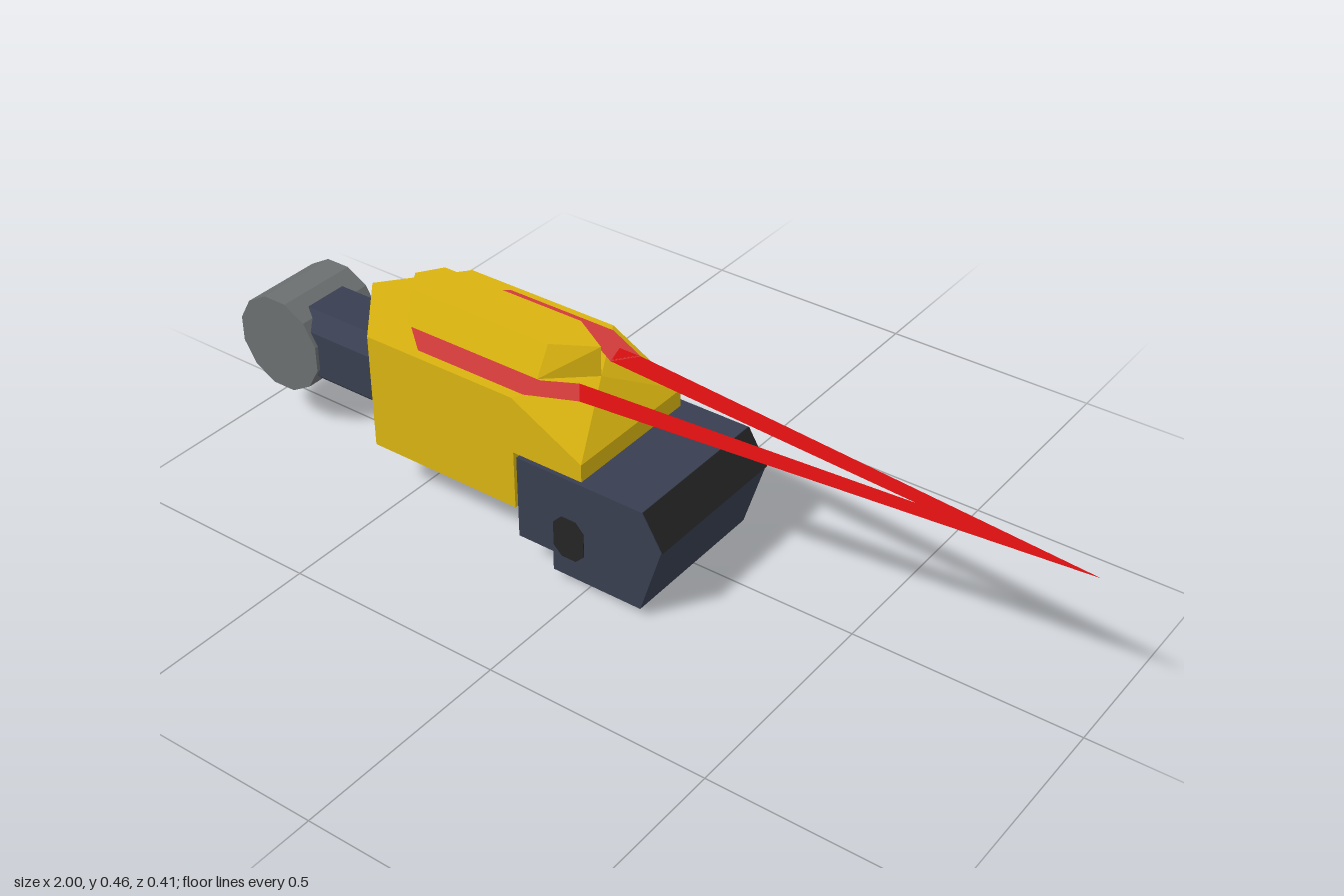
import * as THREE from 'three';

const mat = (name, color, side = THREE.FrontSide) => {
  const m = new THREE.MeshStandardMaterial({ color, side, flatShading: true });
  m.name = name;
  return m;
};

// Flat-faced geometry from a list of convex (or star-shaped) polygons.
function polys(list) {
  const pos = [];
  for (const p of list)
    for (let i = 1; i < p.length - 1; i++) pos.push(...p[0], ...p[i], ...p[i + 1]);
  const g = new THREE.BufferGeometry();
  g.setAttribute('position', new THREE.Float32BufferAttribute(pos, 3));
  g.computeVertexNormals();
  return g;
}

// Adds the z-mirrored copy of each polygon.
const mirrorZ = (list) =>
  list.concat(list.map((p) => p.map(([x, y, z]) => [x, y, -z]).reverse()));

// Extrudes an xy outline between two z values.
function slab(points, z0, z1) {
  const s = new THREE.Shape(points.map(([x, y]) => new THREE.Vector2(x, y)));
  return new THREE.ExtrudeGeometry(s, { depth: z1 - z0, bevelEnabled: false }).translate(0, 0, z0);
}

export function createModel() {
  const yellow = mat('yellow', 0xd9b310);
  const navy = mat('navy', 0x383e50);
  const black = mat('black', 0x242424);
  const grey = mat('grey', 0x6b6f70);
  const red = mat('red', 0xd40e0e, THREE.DoubleSide);
  const paleRed = mat('paleRed', 0xd03a3a, THREE.DoubleSide);

  const model = new THREE.Group();
  const core = new THREE.Group(); // symmetric parts share this centre line
  core.name = 'core';
  core.position.z = 0.031;
  model.add(core);
  const add = (parent, name, geo, material) => {
    const m = new THREE.Mesh(geo, material);
    m.name = name;
    parent.add(m);
    return m;
  };

  // Main hull: pointed rear, overhanging sloped nose
  const h = 0.165, lo = 0.125, mid = 0.26, lip = 0.3, hi = 0.39;
  const xr = -0.69, xs = -0.555, xf = -0.18, xn = -0.085, xe = -0.01;
  add(core, 'hull', polys(mirrorZ([
    [[xr, hi, 0], [xs, hi, h], [xf, hi, h], [xn, hi, 0]],
    [[xr, lo, 0], [xf, lo, 0], [xf, lo, h], [xs, lo, h]],
    [[xr, lo, 0], [xs, lo, h], [xs, hi, h], [xr, hi, 0]],
    [[xf, mid, h], [xe, mid, h], [xe, lip, h], [xf, hi, h], [xs, hi, h], [xs, lo, h], [xf, lo, h]],
    [[xf, lo, h], [xf, lo, 0], [xf, mid, 0], [xf, mid, h]],
    [[xf, mid, 0], [xe, mid, 0], [xe, mid, h], [xf, mid, h]],
    [[xe, mid, h], [xe, mid, 0], [xe, lip, 0], [xe, lip, h]],
    [[xf, hi, h], [xe, lip, h], [xn, hi, 0]],
    [[xn, hi, 0], [xe, lip, h], [xe, lip, 0]],
  ])), yellow);

  // Raised ridge on the hull
  const base = [[-0.585, hi, 0], [-0.52, hi, 0.083], [xf, hi, 0.083], [xn, hi, 0]];
  const top = [[-0.565, 0.458, 0], [-0.53, 0.458, 0.053], [-0.175, 0.458, 0.053], [xn, 0.458, 0]];
  const ridge = [top];
  for (let i = 0; i < 3; i++) ridge.push([base[i], base[i + 1], top[i + 1], top[i]]);
  add(core, 'ridge', polys(mirrorZ(ridge)), yellow);

  // Flat red blades, one on each side of the ridge
  const y = 0.393;
  const flat = (pts, s) => polys([pts.map(([x, z]) => [x, y, z * s])]);
  for (const s of [1, -1]) {
    const side = s > 0 ? 'Left' : 'Right';
    add(core, 'bladePlate' + side, flat([[-0.17, 0.087], [-0.505, 0.087], [-0.435, 0.146],
      [-0.165, 0.146], [-0.062, 0.1], [-0.1, 0.05]], s), paleRed);
    add(core, 'bladeSpike' + side, flat([[-0.1, 0.05], [-0.115, 0.1], [-0.062, 0.1],
      [1, 0], [0.63, 0]], s), red);
  }

  // Rear shaft with chamfered edges, running into the hull
  const a = 0.0875, c = 0.053;
  add(core, 'rearShaft', slab([[a, -c], [a, c], [c, a], [-c, a], [-a, c], [-a, -c], [-c, -a], [c, -a]],
    -0.85, -0.56).rotateY(Math.PI / 2), navy).position.y = 0.218;

  // Rear drum lying across the shaft
  const drum = add(core, 'rearDrum',
    new THREE.CylinderGeometry(0.113, 0.113, 0.198, 12).rotateY(Math.PI / 12).rotateX(Math.PI / 2), grey);
  drum.position.set(-0.891, 0.212, -0.003);

  // Front block under the nose
  const z0 = -0.155, z1 = 0.205;
  add(model, 'frontBlock', slab([[-0.165, 0.067], [-0.078, 0.067], [-0.078, 0.022], [0.138, 0.022],
    [0.188, 0.182], [0.142, 0.259], [-0.165, 0.259]], z0, z1), navy);
  add(model, 'frontBlockFace', polys([[[0.191, 0.182, z1], [0.191, 0.182, z0],
    [0.144, 0.26, z0], [0.144, 0.26, z1]]]), black);
  add(model, 'blockPort', slab([[-0.055, 0.067], [-0.02, 0.067], [0, 0.087], [0, 0.143], [-0.02, 0.164],
    [-0.055, 0.164], [-0.075, 0.143], [-0.075, 0.087]], z1, z1 + 0.002), black);

  // Sloped foot behind the block: navy back and base, black cheeks and front
  const foot = (x) => [[x, 0, -0.205], [x, 0, -0.035], [x, 0.18, -0.035], [x, 0.18, -0.154]];
  const L = foot(-0.167), R = foot(-0.01);
  add(model, 'footCheeks', polys([L, [...R].reverse(), [L[1], R[1], R[2], L[2]]]), black);
  add(model, 'footShell', polys([[L[0], R[0], R[1], L[1]], [R[0], L[0], L[3], R[3]]]), navy);

  return model;
}
